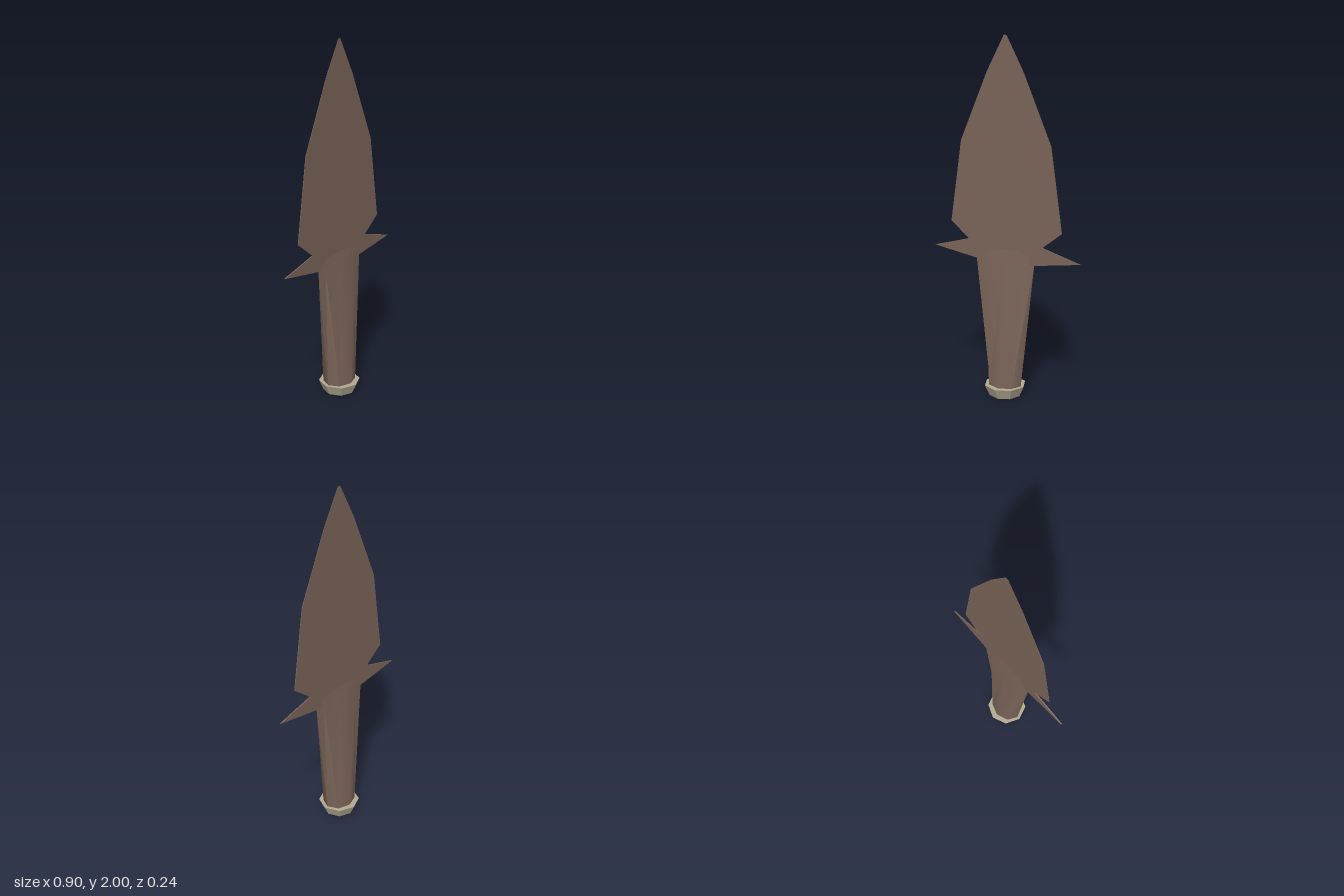
import * as THREE from 'three';
import { toCreasedNormals } from 'three/addons/utils/BufferGeometryUtils.js';

const brown = new THREE.MeshStandardMaterial({ color: 0x7a6458, side: THREE.DoubleSide });
brown.name = 'dark brown metal';
const bone = new THREE.MeshStandardMaterial({ color: 0xb3aa92, side: THREE.DoubleSide });
bone.name = 'pale collar';

function addPart(group, name, geometry, material) {
  const mesh = new THREE.Mesh(geometry, material);
  mesh.name = name;
  group.add(mesh);
}

// Hollow eight-sided socket: round at the base, flattened where it meets the blade
function socketGeometry() {
  const sides = 8;
  const rings = [[0, 0.092, 0.09], [0.06, 0.1, 0.085], [0.775, 0.18, 0.01], [0.86, 0.18, 0.002]];
  const points = [], index = [];
  rings.forEach(([y, rx, rz], r) => {
    for (let i = 0; i < sides; i++) {
      const a = (i / sides) * Math.PI * 2;
      points.push(Math.sin(a) * rx, y, Math.cos(a) * rz);
      if (r === rings.length - 1) continue;
      const p = r * sides + i, q = r * sides + ((i + 1) % sides);
      index.push(p, q, q + sides, p, q + sides, p + sides);
    }
  });
  const geometry = new THREE.BufferGeometry();
  geometry.setAttribute('position', new THREE.Float32BufferAttribute(points, 3));
  geometry.setIndex(index);
  return toCreasedNormals(geometry, 0.8);
}

// Leaf blade with two barbs, thinning towards the tip
function bladeGeometry() {
  const half = [[0.008, 2], [0.11, 1.81], [0.275, 1.43], [0.342, 0.97],
    [0.228, 0.88], [0.452, 0.817], [0.183, 0.775]];
  const outline = [...half, ...half.map(([x, y]) => [-x, y]).reverse()];
  const shape = new THREE.Shape(outline.map(([x, y]) => new THREE.Vector2(x, y)));
  const geometry = new THREE.ExtrudeGeometry(shape, { depth: 1, bevelEnabled: false });
  const pos = geometry.attributes.position;
  for (let i = 0; i < pos.count; i++) {
    pos.setZ(i, (pos.getZ(i) - 0.5) * (0.001 + 0.005 * (2 - pos.getY(i))));
  }
  geometry.computeVertexNormals();
  return geometry;
}

export function createModel() {
  const group = new THREE.Group();
  group.name = 'spearhead';
  addPart(group, 'blade', bladeGeometry(), brown);
  addPart(group, 'socket', socketGeometry(), brown);

  // Flared octagonal collar with a flat top rim
  const profile = [[0.092, 0], [0.118, 0.06], [0.084, 0.06]].map(([r, y]) => new THREE.Vector2(r, y));
  const collar = new THREE.LatheGeometry(profile, 8).toNonIndexed();
  collar.computeVertexNormals();
  addPart(group, 'collar', collar, bone);
  return group;
}
